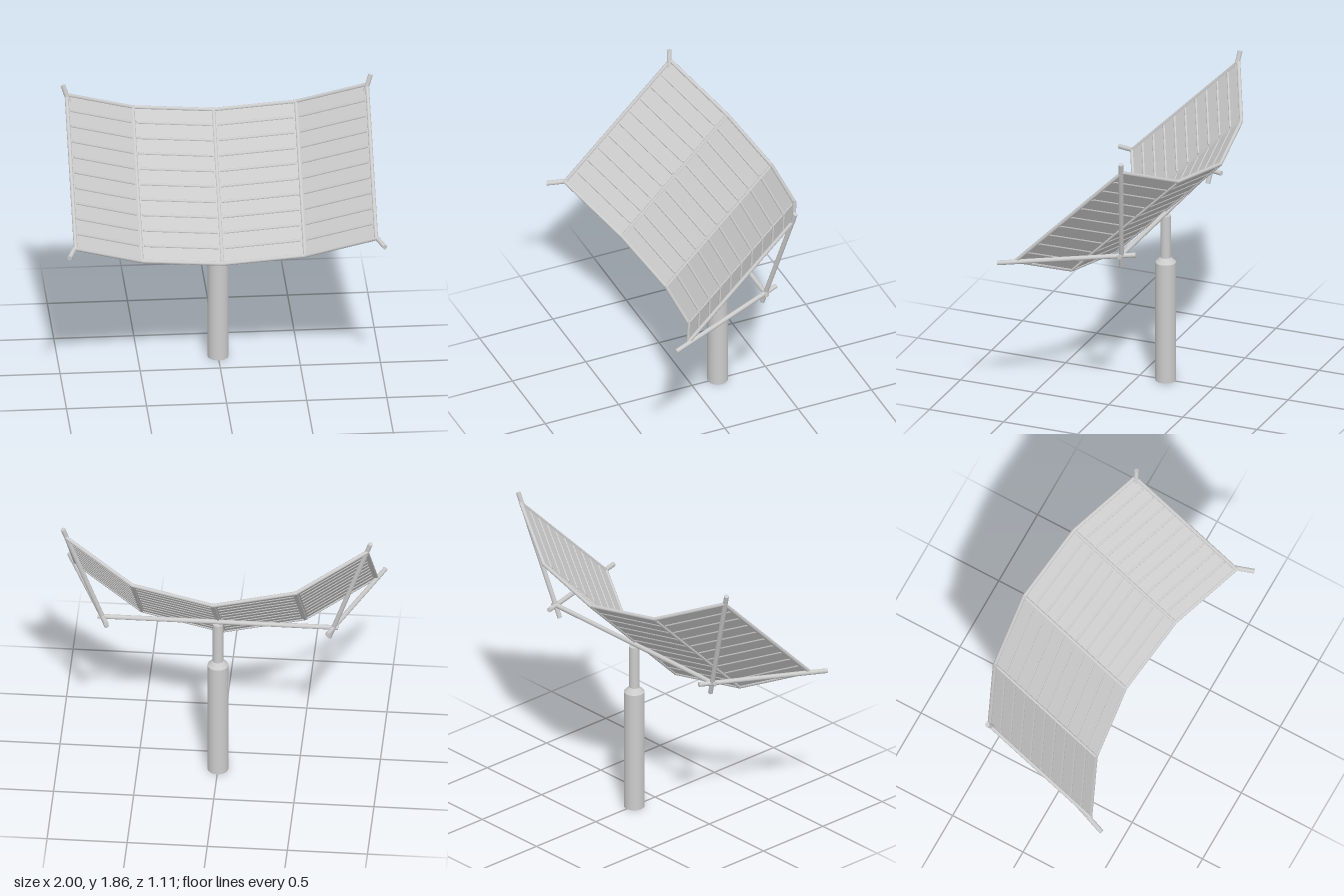
import * as THREE from 'three';

const grey = new THREE.MeshStandardMaterial({ color: 0xcccccc });
const V = (x, y, z) => new THREE.Vector3(x, y, z);

// round bar between two points
function bar(name, a, b, r, sides = 16) {
  const dir = b.clone().sub(a);
  const mesh = new THREE.Mesh(new THREE.CylinderGeometry(r, r, dir.length(), sides), grey);
  mesh.position.copy(a).add(b).multiplyScalar(0.5);
  mesh.quaternion.setFromUnitVectors(V(0, 1, 0), dir.normalize());
  mesh.name = name;
  return mesh;
}

export function createModel() {
  const model = new THREE.Group();
  model.name = 'solarTrough';

  // stepped mast, each section with its own crisp edges
  const mast = new THREE.Group();
  mast.name = 'mast';
  mast.position.z = -0.175;
  for (const [name, bottom, top, y0, y1] of [
    ['mastBase', 0.065, 0.065, 0, 0.8],
    ['mastTaper', 0.065, 0.033, 0.8, 0.833],
    ['mastNeck', 0.033, 0.033, 0.833, 1.115],
  ]) {
    const part = new THREE.Mesh(new THREE.CylinderGeometry(top, bottom, y1 - y0, 32), grey);
    part.position.y = (y0 + y1) / 2;
    part.name = name;
    mast.add(part);
  }
  model.add(mast);

  // axle and the two crossing arms at each end
  model.add(bar('axle', V(-0.75, 1.13, -0.175), V(0.75, 1.13, -0.175), 0.015));
  for (const s of [-1, 1]) {
    model.add(bar('lowerArm', V(s * 0.69, 1.137, -0.262), V(s * 0.985, 1.065, 0.55), 0.015));
    model.add(bar('upperArm', V(s * 0.695, 1.05, -0.168), V(s * 0.96, 1.86, -0.275), 0.015));
  }

  // faceted reflector, tilted back 45 degrees: local y runs up the slope, z is its normal
  const reflector = new THREE.Group();
  reflector.name = 'reflector';
  reflector.position.set(0, 1.165, -0.185);
  reflector.rotation.x = -Math.PI / 4;
  const half = 0.508;
  const profile = [[-0.938, 0.383], [-0.51, 0.103], [0, 0], [0.51, 0.103], [0.938, 0.383]];

  // ribs running up the slope, with rounded joints at the rim
  for (const [x, z] of profile) {
    reflector.add(bar('rib', V(x, -half, z), V(x, half, z), 0.012));
    for (const y of [-half, half]) {
      const joint = new THREE.Mesh(new THREE.SphereGeometry(0.012, 16, 10), grey);
      joint.position.set(x, y, z);
      joint.name = 'rimJoint';
      reflector.add(joint);
    }
  }

  // flat panels with rim bars and slats
  for (let i = 0; i < 4; i++) {
    const [x0, z0] = profile[i], [x1, z1] = profile[i + 1];
    const length = Math.hypot(x1 - x0, z1 - z0);
    const panel = new THREE.Mesh(new THREE.BoxGeometry(length, half * 2, 0.006), grey);
    panel.position.set((x0 + x1) / 2, 0, (z0 + z1) / 2);
    panel.rotation.y = -Math.atan2(z1 - z0, x1 - x0);
    panel.name = 'panel';
    reflector.add(panel);

    for (const y of [-half, half]) {
      reflector.add(bar('rimBar', V(x0, y, z0), V(x1, y, z1), 0.012));
    }
    const inset = 0.02 / length;
    for (let k = 1; k < 10; k++) {
      const y = -half + (k * half) / 5;
      const a = V(x0, y, z0), b = V(x1, y, z1);
      reflector.add(bar('slat', a.clone().lerp(b, inset), b.clone().lerp(a, inset), 0.009, 10));
    }
  }
  model.add(reflector);
  return model;
}
